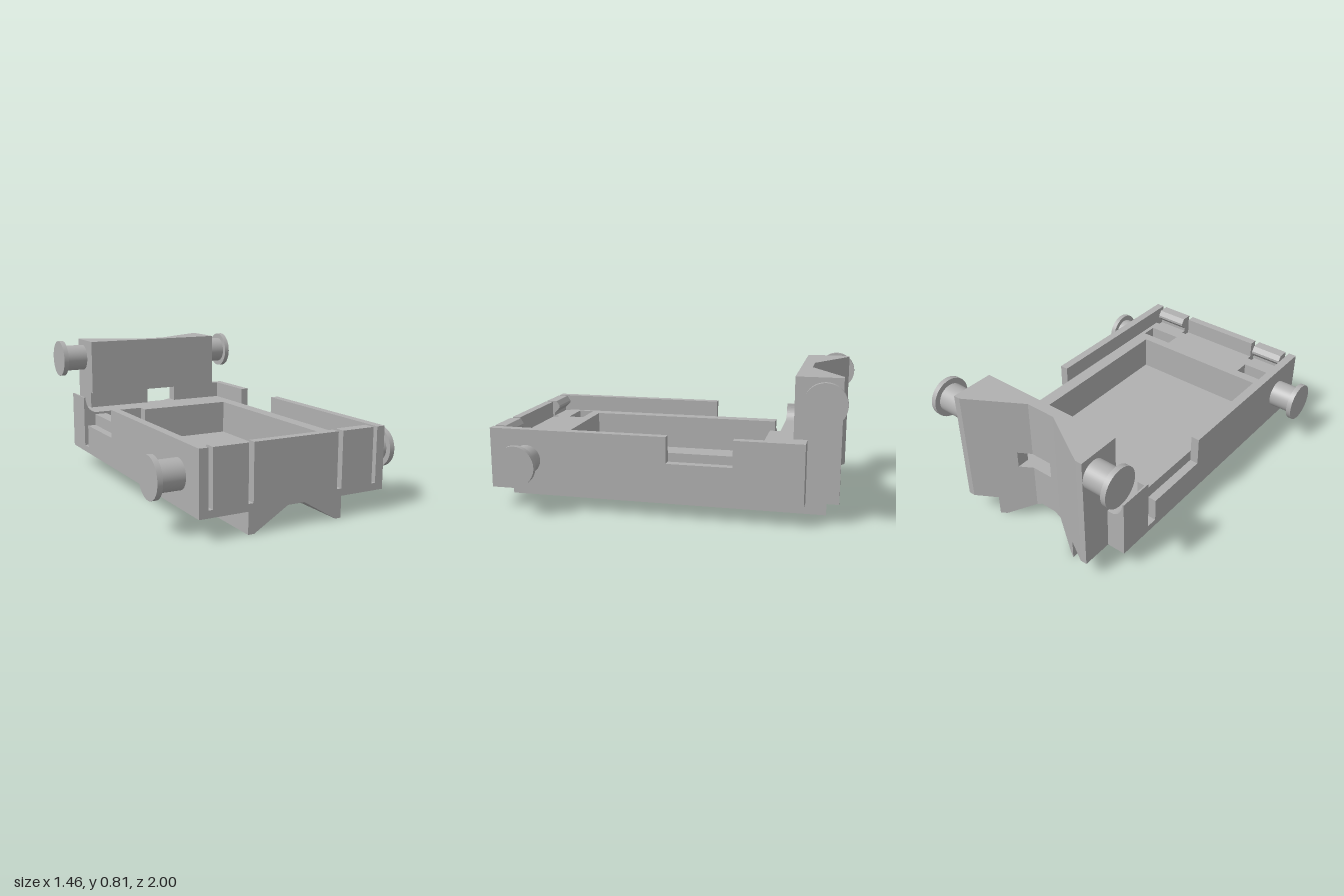
import * as THREE from 'three';

const grey = new THREE.MeshStandardMaterial({ color: 0xb0b0b0 });
grey.name = 'plain grey';

export function createModel() {
  const model = new THREE.Group();
  const add = (name, geo) => {
    const mesh = new THREE.Mesh(geo, grey);
    mesh.name = name;
    model.add(mesh);
    return mesh;
  };
  const box = (name, x0, x1, y0, y1, z0, z1) =>
    add(name, new THREE.BoxGeometry(x1 - x0, y1 - y0, z1 - z0))
      .position.set((x0 + x1) / 2, (y0 + y1) / 2, (z0 + z1) / 2);
  const toShape = (pts) => new THREE.Shape(pts.map(([a, b]) => new THREE.Vector2(a, b)));
  const extrude = (shape, depth) =>
    new THREE.ExtrudeGeometry(shape, { depth, bevelEnabled: false });
  // Plan outline in (x, z), raised from y0 to y1
  const slab = (name, pts, y0, y1, holes = []) => {
    const flip = (list) => list.map(([x, z]) => [x, -z]);
    const shape = toShape(flip(pts));
    shape.holes = holes.map((h) => toShape(flip(h)));
    add(name, extrude(shape, y1 - y0).rotateX(-Math.PI / 2).translate(0, y0, 0));
  };
  // Profile in (z, y), swept from x0 to x1
  const sweepX = (name, pts, x0, x1) =>
    add(name, extrude(toShape(pts.map(([z, y]) => [-z, y])), x1 - x0)
      .rotateY(Math.PI / 2).translate(x0, 0, 0));

  const FLOOR = 0.16, DECK = 0.37, TOP = 0.47;
  const slits = [[-0.51, -0.485], [-0.285, -0.255], [0.255, 0.285], [0.485, 0.51]];

  // Tray floor
  slab('trayFloor', [[-0.56, 1], [0.56, 1], [0.56, -0.79], [0.45, -0.79], [0.45, -0.75],
    [-0.45, -0.75], [-0.45, -0.79], [-0.56, -0.79]], 0.12, FLOOR);

  // Deck around the pocket, with front slits, side channel and notches
  const deckOutline = (leftCut, rightCut) => {
    const pts = [[-0.56, 1]];
    for (const [a, b] of slits) pts.push([a, 1], [a, 0.92], [b, 0.92], [b, 1]);
    pts.push([0.56, 1]);
    if (rightCut) pts.push([0.56, -0.035], [0.51, -0.035], [0.51, -0.405], [0.56, -0.405]);
    pts.push([0.56, -0.79], [0.45, -0.79], [0.45, -0.75], [-0.45, -0.75], [-0.45, -0.79],
      [-0.56, -0.79], [-0.56, -0.58], [-0.165, -0.58], [-0.165, -0.515], [0.43, -0.515],
      [0.43, 0.69], [-0.435, 0.69], [-0.435, -0.515]);
    if (leftCut) pts.push([-0.51, -0.515], [-0.51, -0.115], [-0.56, -0.115]);
    else pts.push([-0.56, -0.515]);
    return pts;
  };
  const clipHoles = [-1, 1].map((s) =>
    [[0.28, 0.75], [0.485, 0.75], [0.485, 0.845], [0.28, 0.845]].map(([x, z]) => [s * x, z]));
  slab('deckLower', deckOutline(false, false), FLOOR, 0.3, clipHoles);
  slab('deckMiddle', deckOutline(true, false), 0.3, 0.32, clipHoles);
  slab('deckUpper', deckOutline(true, true), 0.32, DECK, clipHoles);

  // Rim walls
  box('leftRim', -0.56, -0.51, DECK, TOP, -0.115, 1);
  box('rightRimFront', 0.51, 0.56, DECK, TOP, -0.035, 1);
  box('rightRimBack', 0.51, 0.56, DECK, TOP, -0.79, -0.405);
  box('rightBackCorner', 0.45, 0.51, DECK, TOP, -0.79, -0.75);
  for (const [a, b] of [[-0.485, -0.285], [-0.255, 0.255], [0.285, 0.485]])
    box('frontRim', a, b, DECK, TOP, 0.95, 1);

  // Left rear wall with a hollow curved inner face
  const cove = new THREE.Shape();
  cove.moveTo(-0.56, DECK);
  cove.lineTo(-0.485, DECK);
  cove.quadraticCurveTo(-0.545, DECK + 0.015, -0.55, TOP);
  cove.lineTo(-0.56, TOP);
  add('leftRearWall', extrude(cove, 0.21).translate(0, 0, -0.79));

  // Clip hooks and sloping faces in the clip holes
  for (const [a, b] of [[-0.485, -0.285], [0.285, 0.485]]) {
    sweepX('clipHook', [[0.95, 0.39], [0.95, TOP], [0.935, TOP], [0.915, 0.44], [0.915, 0.425]], a, b);
    sweepX('clipSlope', [[0.75, FLOOR], [0.8, FLOOR], [0.75, DECK]], a, b);
  }

  // V-grooved back block; the rear face follows grooveZ
  const grooveZ = (x) => -0.78 - 0.19 * THREE.MathUtils.clamp((Math.abs(x) - 0.09) / 0.32, 0, 1);
  const blockOutline = (x0, x1, front) => {
    const xs = [x0, ...[-0.41, -0.09, 0.09, 0.41].filter((x) => x > x0 && x < x1), x1];
    return [[x1, front], [x0, front], ...xs.map((x) => [x, grooveZ(x)])];
  };
  slab('backBlockBase', blockOutline(-0.45, 0.45, -0.75), 0.12, DECK);
  slab('backBlockBesideSlot', blockOutline(-0.45, -0.04, -0.75), DECK, TOP);
  slab('backBlockBesideSlot', blockOutline(0.165, 0.45, -0.75), DECK, TOP);
  slab('backBlockUpper', blockOutline(-0.45, 0.45, -0.715), TOP, 0.81);

  // Bottom rails, their rear ends trimmed to the groove
  for (const s of [-1, 1]) {
    const rail = extrude(toShape([[0.05, 0.12], [0.09, 0.096], [0.25, 0], [0.285, 0],
      [0.285, 0.12], [0.09, 0.12]].map(([x, y]) => [s * x, y])), 1);
    const p = rail.attributes.position;
    for (let i = 0; i < p.count; i++) p.setZ(i, p.getZ(i) > 0.5 ? 1 : grooveZ(p.getX(i)));
    rail.computeVertexNormals();
    add('bottomRail', rail);
  }

  // Flanged side pins
  const pin = (s, x, y, z, length) => {
    const part = (name, r, x0, x1) => {
      const m = add(name, new THREE.CylinderGeometry(r, r, x1 - x0, 48).rotateZ(Math.PI / 2));
      m.position.set(s * (x0 + x1) / 2, y, z);
    };
    part('pinShaft', 0.083, x - 0.01, x + length - 0.03);
    part('pinFlange', 0.115, x + length - 0.03, x + length);
  };
  for (const s of [-1, 1]) {
    pin(s, 0.56, 0.297, 0.782, 0.168);
    pin(s, 0.45, 0.693, -0.885, 0.168);
  }
  return model;
}
